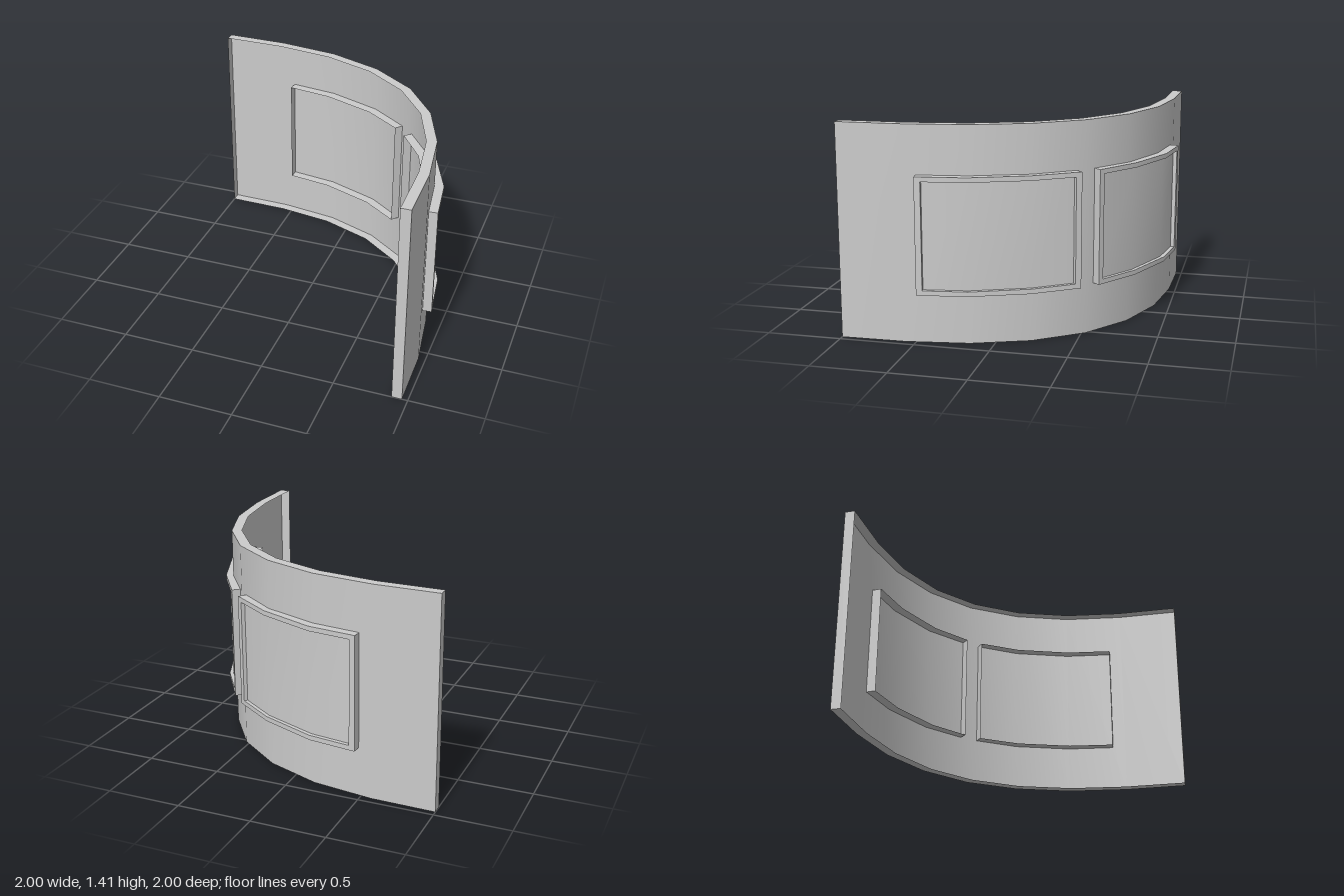
import * as THREE from 'three';
import { mergeGeometries } from 'three/addons/utils/BufferGeometryUtils.js';

const material = new THREE.MeshStandardMaterial({ color: 0xcccccc, side: THREE.DoubleSide });

// Mirror of a plan path across the diagonal x = -z, keeping its direction consistent
const mirror = path => path.map(([x, z]) => [-z, -x]).reverse();
const lerp = (p, q, t) => p.map((v, i) => v + (q[i] - v) * t);
const blend = (A, B, t) => A.map((p, i) => lerp(p, B[i], t));

// Shorten a path by a distance at both ends
function trim(path, d) {
  const toward = (p, q) => lerp(p, q, d / Math.hypot(q[0] - p[0], q[1] - p[1]));
  const n = path.length - 1;
  return [toward(path[0], path[1]), ...path.slice(1, n), toward(path[n], path[n - 1])];
}

// Smooth strip of quads between two rows of points
function strip(a, b) {
  const g = new THREE.BufferGeometry();
  const index = [];
  for (let i = 0; i < a.length - 1; i++) {
    const k = 2 * i;
    index.push(k, k + 1, k + 2, k + 1, k + 3, k + 2);
  }
  g.setAttribute('position', new THREE.Float32BufferAttribute(a.flatMap((p, i) => [...p, ...b[i]]), 3));
  g.setIndex(index);
  g.computeVertexNormals();
  return g;
}

const row = (path, y) => path.map(([x, z]) => [x, y, z]);
const column = ([x, z], ys) => ys.map(y => [x, y, z]);

// Curved sheet standing on a plan path
const sheet = ({ path, ys }) => strip(row(path, ys[0]), row(path, ys[1]));

// Four strips joining the border of one curved sheet to that of another
function border(A, B) {
  return [
    strip(row(A.path, A.ys[0]), row(B.path, B.ys[0])),
    strip(row(B.path, B.ys[1]), row(A.path, A.ys[1])),
    strip(column(B.path[0], B.ys), column(A.path[0], A.ys)),
    strip(column(A.path.at(-1), A.ys), column(B.path.at(-1), B.ys)),
  ];
}

function part(name, geometries) {
  const mesh = new THREE.Mesh(mergeGeometries(geometries), material);
  mesh.name = name;
  return mesh;
}

export function createModel() {
  const model = new THREE.Group();
  model.name = 'curvedWallWithWindows';

  // Wall: outer skin with returned edges, open on the inner side
  const halfOuter = [[-1, -0.962], [-0.57, -0.953], [-0.155, -0.893], [0.215, -0.752]];
  const halfInner = [[-1, -0.893], [-0.57, -0.884], [-0.175, -0.826], [0.185, -0.69]];
  const wallYs = [0, 1.415];
  const wallOuter = { path: [...halfOuter, [0.525, -0.525], ...mirror(halfOuter)], ys: wallYs };
  const wallInner = { path: [...halfInner, [0.475, -0.475], ...mirror(halfInner)], ys: wallYs };
  model.add(part('wall', [...border(wallInner, wallOuter), sheet(wallOuter)]));

  // Windows: raised frame running through the wall, with a recessed pane
  const frameOuter = [[-0.477, -1], [-0.15, -0.955], [0.225, -0.802], [0.51, -0.608]];
  const frameInner = [[-0.488, -0.875], [-0.175, -0.826], [0.185, -0.69], [0.43, -0.518]];
  const frameYs = [0.33, 1.095], openingYs = [0.362, 1.063];
  const sides = [['back', p => p], ['left', mirror]];
  for (const [side, place] of sides) {
    const outer = place(frameOuter), inner = place(frameInner);
    const back = { path: inner, ys: frameYs };
    const front = { path: outer, ys: frameYs };
    const lip = { path: trim(outer, 0.04), ys: openingYs };
    const pane = { path: trim(blend(outer, inner, 0.21), 0.04), ys: openingYs };
    const window = new THREE.Group();
    window.name = side + 'Window';
    window.add(
      part('frame', [...border(back, front), ...border(front, lip), ...border(lip, pane)]),
      part('pane', [sheet(pane)]),
    );
    model.add(window);
  }
  return model;
}
